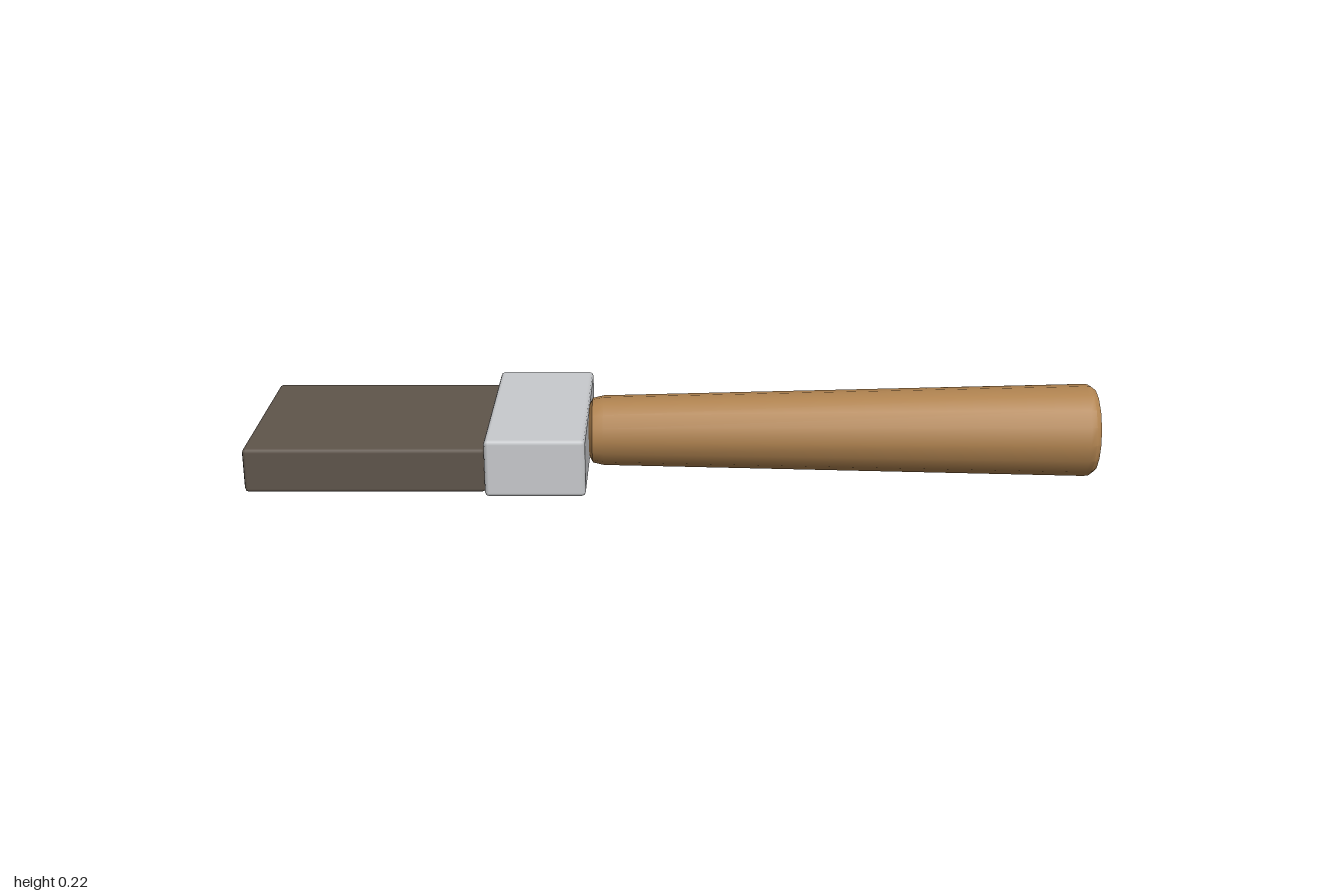
import * as THREE from 'three';
import { toCreasedNormals } from 'three/addons/utils/BufferGeometryUtils.js';
import { RoundedBoxGeometry } from 'three/addons/geometries/RoundedBoxGeometry.js';

const material = (name, color) => {
  const m = new THREE.MeshStandardMaterial({ color });
  m.name = name;
  return m;
};

export function createModel() {
  const group = new THREE.Group();
  group.name = 'paintbrush';

  const add = (name, geometry, mat, x, y) => {
    const mesh = new THREE.Mesh(geometry, mat);
    mesh.name = name;
    mesh.position.set(x, y, 0);
    group.add(mesh);
    return mesh;
  };

  // Bristle block and the metal band, both with softened edges
  add('bristles', new RoundedBoxGeometry(0.558, 0.106, 0.462, 1, 0.009),
    material('dark bristle', 0x5f554b), -0.721, 0.096);
  add('ferrule', new RoundedBoxGeometry(0.232, 0.138, 0.5, 1, 0.01),
    material('light metal', 0xc8cacd), -0.328, 0.108);

  // Sixteen-sided tapering handle, bevelled at both ends, turned along x
  const profile = [
    [0, -0.212], [0.064, -0.212], [0.078, -0.204], [0.084, -0.178],
    [0.111, 0.975], [0.11, 0.988], [0.101, 1], [0, 1],
  ].map(([r, along]) => new THREE.Vector2(r, along));
  const handle = toCreasedNormals(new THREE.LatheGeometry(profile, 16), 0.6);
  add('handle', handle, material('wood', 0xb08350), 0, 0.111).rotation.z = -Math.PI / 2;

  return group;
}
